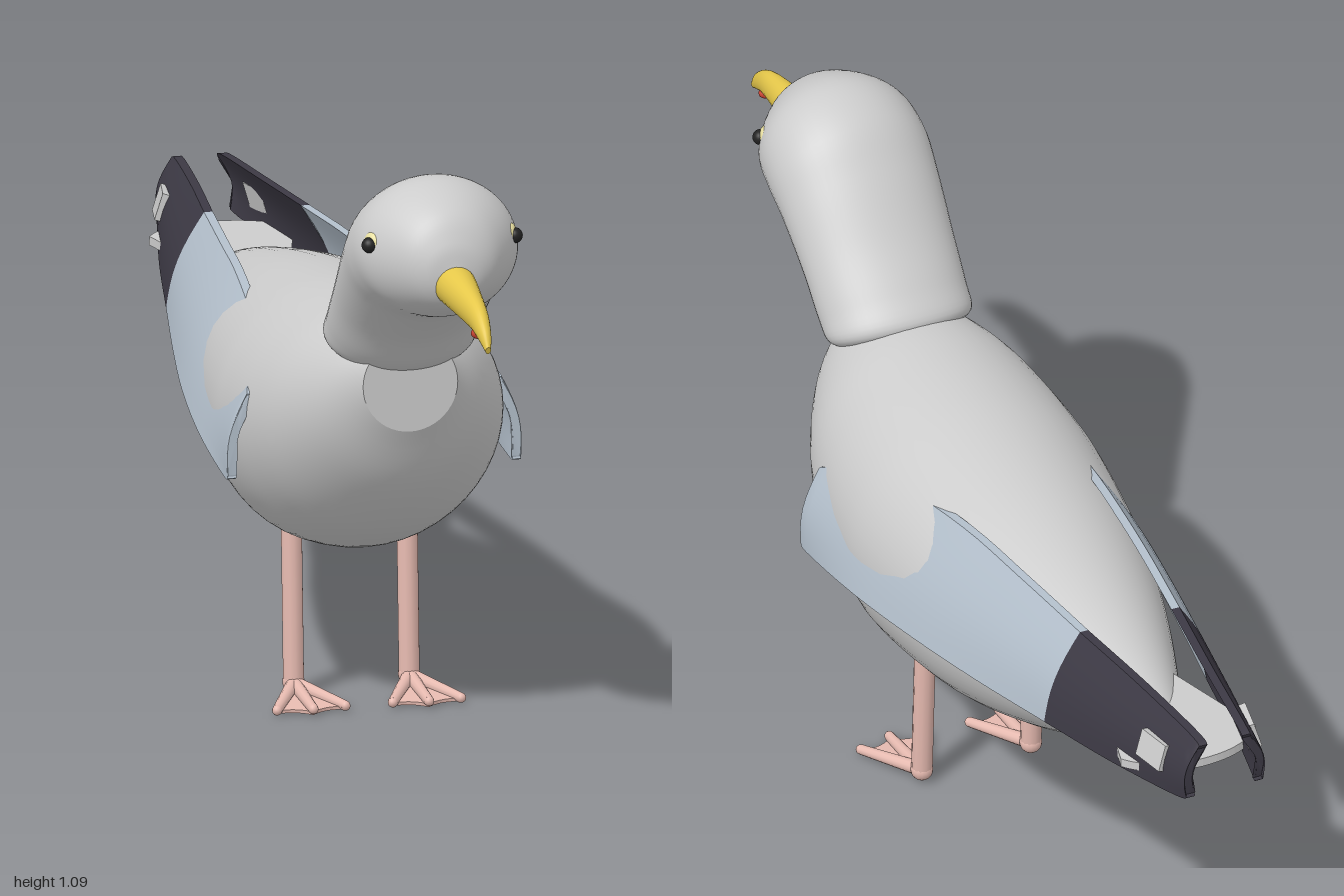
import * as THREE from 'three';
import { toCreasedNormals } from 'three/addons/utils/BufferGeometryUtils.js';

const mat = (color) => new THREE.MeshStandardMaterial({ color });
const plumage = mat(0xcccccc), slate = mat(0xb4c0cc), dark = mat(0x3c3944), yellow = mat(0xe6c84a);
const pink = mat(0xe6bab0), black = mat(0x222222), cream = mat(0xe8dfa0), red = mat(0xcc4433);

function add(parent, name, geometry, material) {
  const mesh = new THREE.Mesh(geometry, material);
  mesh.name = name;
  parent.add(mesh);
  return mesh;
}

// Skin over closed rings (ordered back to front, clockwise seen from +z), with flat end caps
function skin(rings) {
  const n = rings[0].length, pos = rings.flat(), index = [];
  for (let i = 0; i < rings.length - 1; i++) {
    for (let j = 0; j < n; j++) {
      const a = i * n + j, c = i * n + (j + 1) % n;
      index.push(a, a + n, c, a + n, c + n, c);
    }
  }
  [rings[0], rings[rings.length - 1]].forEach((ring, end) => {
    const base = pos.length;
    const mid = ring.reduce((s, p) => s.add(p), new THREE.Vector3()).divideScalar(n);
    pos.push(...ring, mid);
    for (let j = 0; j < n; j++) {
      const p = base + j, q = base + (j + 1) % n;
      index.push(base + n, end ? q : p, end ? p : q);
    }
  });
  const g = new THREE.BufferGeometry().setFromPoints(pos);
  g.setIndex(index);
  g.computeVertexNormals();
  return g;
}

// Elliptical loft; each station is [top z, top y, bottom z, bottom y, half width]
function loft(stations, steps, sides) {
  const spline = (f) => new THREE.CatmullRomCurve3(stations.map(f), false, 'catmullrom');
  const top = spline((s) => new THREE.Vector3(s[4], s[1], s[0]));
  const low = spline((s) => new THREE.Vector3(s[4], s[3], s[2]));
  const rings = [];
  for (let i = 0; i <= steps; i++) {
    const t = top.getPoint(i / steps), b = low.getPoint(i / steps), ring = [];
    for (let j = 0; j < sides; j++) {
      const a = (j / sides) * Math.PI * 2, k = (1 + Math.cos(a)) / 2;
      ring.push(new THREE.Vector3(t.x * Math.sin(a), b.y + (t.y - b.y) * k, b.z + (t.z - b.z) * k));
    }
    rings.push(ring);
  }
  return skin(rings);
}

// Folded wing blade; each station is [z, top x, top y, bottom x, bottom y]
function blade(stations, side) {
  const spline = (k) => new THREE.CatmullRomCurve3(
    stations.map((s) => new THREE.Vector3(s[k], s[k + 1], s[0])), false, 'catmullrom');
  const top = spline(1), low = spline(3), rings = [], steps = 20, m = 8;
  for (let i = 0; i <= steps; i++) {
    const t = top.getPoint(i / steps), b = low.getPoint(i / steps), outer = [], inner = [];
    for (let j = 0; j <= m; j++) {
      const p = t.clone().lerp(b, j / m), bulge = 0.014 * Math.sin((j / m) * Math.PI);
      outer.push(new THREE.Vector3(side * (p.x + bulge + 0.008), p.y, p.z));
      inner.push(new THREE.Vector3(side * (p.x + bulge - 0.008), p.y, p.z));
    }
    const ring = [...outer, ...inner.reverse()];
    rings.push(side > 0 ? ring : ring.reverse());
  }
  return toCreasedNormals(skin(rings), 0.7);
}

function rod(parent, name, from, to, r0, r1) {
  const a = new THREE.Vector3(...from), b = new THREE.Vector3(...to), d = b.clone().sub(a);
  const mesh = add(parent, name, new THREE.CylinderGeometry(r1, r0, d.length(), 12), pink);
  mesh.position.copy(a).add(b).multiplyScalar(0.5);
  mesh.quaternion.setFromUnitVectors(new THREE.Vector3(0, 1, 0), d.normalize());
  return mesh;
}

export function createModel() {
  const bird = new THREE.Group();
  bird.name = 'seabird';

  // Body, from tail tip to flat breast
  add(bird, 'body', loft([
    [-0.77, 0.565, -0.77, 0.54, 0.012], [-0.75, 0.59, -0.75, 0.523, 0.036], [-0.6, 0.64, -0.6, 0.457, 0.095],
    [-0.4, 0.69, -0.4, 0.363, 0.165], [-0.2, 0.73, -0.2, 0.297, 0.217], [0, 0.76, 0, 0.27, 0.245],
    [0.1, 0.772, 0.1, 0.279, 0.246], [0.2, 0.78, 0.2, 0.309, 0.235], [0.3, 0.785, 0.3, 0.367, 0.208],
    [0.4, 0.775, 0.4, 0.468, 0.152], [0.46, 0.755, 0.46, 0.583, 0.086],
  ], 60, 48), plumage);

  // Neck and head in one sweep
  add(bird, 'neckAndHead', loft([
    [0.33, 0.74, 0.42, 0.69, 0.09], [0.295, 0.785, 0.455, 0.693, 0.132], [0.335, 0.835, 0.485, 0.712, 0.138],
    [0.40, 0.905, 0.535, 0.768, 0.141], [0.48, 1.0, 0.61, 0.825, 0.147], [0.55, 1.068, 0.66, 0.845, 0.15],
    [0.64, 1.094, 0.70, 0.856, 0.139], [0.73, 1.06, 0.748, 0.88, 0.093], [0.768, 1.008, 0.77, 0.905, 0.055],
    [0.78, 0.96, 0.78, 0.935, 0.012],
  ], 54, 48), plumage);

  // Hooked bill with its spot
  add(bird, 'bill', loft([
    [0.74, 0.967, 0.74, 0.893, 0.038], [0.79, 0.965, 0.79, 0.893, 0.035], [0.88, 0.951, 0.88, 0.89, 0.024],
    [0.94, 0.935, 0.935, 0.886, 0.017], [0.98, 0.907, 0.972, 0.875, 0.011], [1.0, 0.878, 0.995, 0.865, 0.005],
  ], 24, 24), yellow);
  const spot = add(bird, 'billSpot', new THREE.SphereGeometry(0.011, 16, 12), red);
  spot.position.set(0, 0.889, 0.94);
  spot.scale.x = 1.5;

  // Tail fan
  const fan = new THREE.Shape();
  fan.moveTo(-0.05, 0.55);
  fan.lineTo(-0.13, 0.85);
  fan.quadraticCurveTo(-0.09, 0.91, 0, 0.912);
  fan.quadraticCurveTo(0.09, 0.91, 0.13, 0.85);
  fan.lineTo(0.05, 0.55);
  const tail = new THREE.ExtrudeGeometry(fan, { depth: 0.016, bevelEnabled: false });
  tail.rotateX(-Math.PI / 2 + 0.04);
  add(bird, 'tail', tail, plumage).position.y = 0.553;

  for (const side of [1, -1]) {
    const label = side > 0 ? 'left' : 'right';

    // Folded wing with dark tip and pale patch
    const wing = new THREE.Group();
    wing.name = label + 'Wing';
    bird.add(wing);
    add(wing, 'wingBlade', blade([
      [-0.6, 0.088, 0.71, 0.157, 0.54], [-0.4, 0.112, 0.71, 0.197, 0.517], [-0.2, 0.133, 0.702, 0.232, 0.497],
      [0, 0.16, 0.67, 0.253, 0.472], [0.19, 0.217, 0.613, 0.259, 0.448], [0.21, 0.224, 0.595, 0.257, 0.456],
    ], side), slate);
    add(wing, 'wingTip', blade([
      [-1, 0.044, 0.69, 0.063, 0.605], [-0.985, 0.042, 0.706, 0.072, 0.592],
      [-0.8, 0.062, 0.71, 0.117, 0.565], [-0.6, 0.088, 0.71, 0.157, 0.54],
    ], side), dark);
    const patch = add(wing, 'wingPatch', new THREE.BoxGeometry(0.025, 0.05, 0.07), plumage);
    patch.position.set(side * 0.088, 0.645, -0.905);
    patch.rotation.set(0, side * 0.2, side * 0.3);

    // Eye
    const ring = add(bird, label + 'EyeRing', new THREE.SphereGeometry(0.021, 24, 16), cream);
    ring.position.set(side * 0.124, 0.99, 0.673);
    ring.scale.x = 0.6;
    ring.rotation.y = side * -0.35;
    const pupil = add(bird, label + 'Pupil', new THREE.SphereGeometry(0.014, 24, 16), black);
    pupil.position.set(side * 0.132, 0.989, 0.679);

    // Leg and webbed foot
    const leg = new THREE.Group();
    leg.name = label + 'Leg';
    leg.position.x = side * 0.105;
    bird.add(leg);
    rod(leg, 'shank', [0, 0.03, 0.052], [0, 0.34, 0.036], 0.019, 0.019);
    add(leg, 'ankle', new THREE.SphereGeometry(0.02, 16, 12), pink).position.set(0, 0.028, 0.052);
    const tips = [[-0.062, 0.012, 0.175], [0, 0.014, 0.19], [0.062, 0.012, 0.175]];
    for (const tip of tips) {
      rod(leg, 'toe', [0, 0.026, 0.055], tip, 0.013, 0.009);
      add(leg, 'toeTip', new THREE.SphereGeometry(0.009, 12, 8), pink).position.set(...tip);
    }
    const web = new THREE.Shape();
    web.moveTo(0, -0.055);
    web.lineTo(-0.062, -0.175);
    web.quadraticCurveTo(-0.03, -0.165, 0, -0.19);
    web.quadraticCurveTo(0.03, -0.165, 0.062, -0.175);
    const webbing = new THREE.ExtrudeGeometry(web, { depth: 0.006, bevelEnabled: false });
    webbing.rotateX(-Math.PI / 2 + 0.1);
    add(leg, 'webbing', webbing, pink).position.y = 0.022;
  }
  return bird;
}
